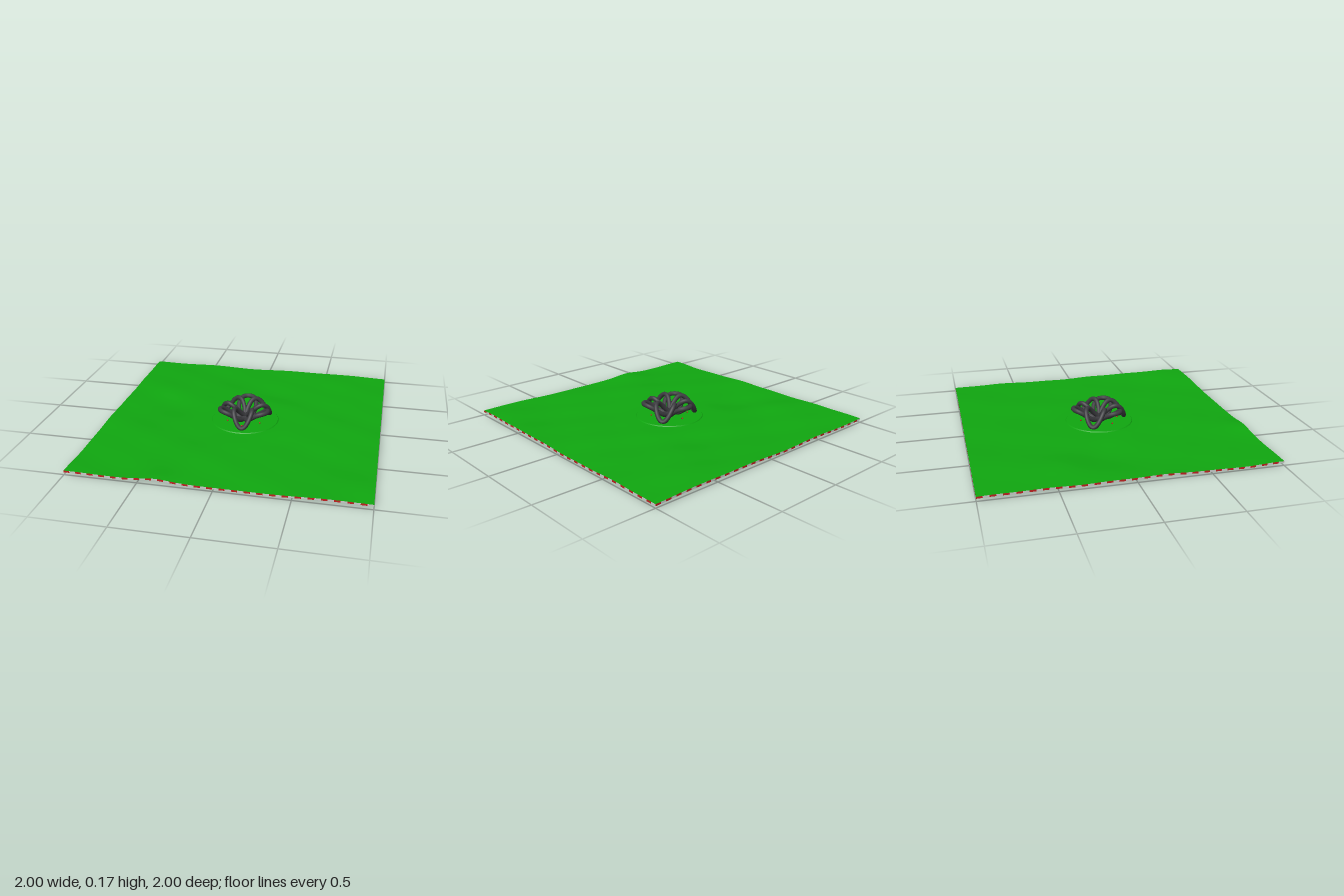
import * as THREE from 'three';

const THICK = 0.013;

// Gentle rolling ground, levelled around the middle
function groundHeight(x, z) {
  const waves = 0.0035 * Math.sin(5 * x + 2.3 * z + 1) + 0.003 * Math.sin(3.1 * x - 7 * z)
    + 0.002 * Math.sin(11 * x + 6 * z) + 0.0015 * Math.sin(17 * z - 9 * x + 2);
  const bump = (bx, bz, h, w) => h * Math.exp(-((x - bx) ** 2 + (z - bz) ** 2) / (w * w));
  const mask = THREE.MathUtils.smoothstep(Math.hypot(x, z), 0.22, 0.5);
  return 0.03 + mask * (waves + bump(-0.38, 1, 0.013, 0.12) + bump(1, 0.78, 0.009, 0.2)
    + bump(-0.7, -0.4, 0.006, 0.15) + bump(0.75, -0.5, 0.005, 0.15)
    - bump(-0.6, -0.1, 0.009, 0.2) - bump(0.2, -0.45, 0.009, 0.2));
}

// One face of the ground sheet
function sheet(drop, flip) {
  const g = new THREE.PlaneGeometry(2, 2, 90, 90);
  g.rotateX(flip ? Math.PI / 2 : -Math.PI / 2);
  const p = g.attributes.position;
  for (let i = 0; i < p.count; i++) p.setY(i, groundHeight(p.getX(i), p.getZ(i)) - drop);
  g.computeVertexNormals();
  return g;
}

// Every second dash of the border, all the way round the sheet
function borderDashes(parity) {
  const n = 50, pos = [];
  const sides = [t => [t, 1], t => [1, -t], t => [-t, -1], t => [-1, t]];
  for (const side of sides) {
    for (let i = parity; i < n; i += 2) {
      const [ax, az] = side(-1 + 2 * i / n), [bx, bz] = side(-1 + 2 * (i + 1) / n);
      const ay = groundHeight(ax, az), by = groundHeight(bx, bz);
      const a0 = [ax, ay - THICK, az], a1 = [ax, ay, az];
      const b0 = [bx, by - THICK, bz], b1 = [bx, by, bz];
      pos.push(...a0, ...b0, ...b1, ...a0, ...b1, ...a1);
    }
  }
  const g = new THREE.BufferGeometry();
  g.setAttribute('position', new THREE.Float32BufferAttribute(pos, 3));
  g.computeVertexNormals();
  return g;
}

// Closed curve of six loops, alternately lifted and drooping at the tip
class KnotCurve extends THREE.Curve {
  getPoint(u, target = new THREE.Vector3()) {
    const s = u * Math.PI * 2, turn = Math.PI / 2 + 0.06, a = 0.1, b = 0.095;
    const x = a * Math.cos(s + turn) + b * Math.cos(-5 * s + turn);
    const z = -a * Math.sin(s + turn) - b * Math.sin(-5 * s + turn);
    const y = 0.1 + 0.005 * Math.cos(3 * s) + 0.015 * Math.cos(6 * s)
      + 0.04 * Math.cos(9 * s) - 0.025 * Math.cos(12 * s);
    return target.set(x, y, z);
  }
}

export function createModel() {
  const group = new THREE.Group();
  const add = (name, geometry, color, side = THREE.FrontSide) => {
    const mesh = new THREE.Mesh(geometry, new THREE.MeshStandardMaterial({ color, side }));
    mesh.name = name;
    group.add(mesh);
    return mesh;
  };

  // Ground sheet and its striped rim
  add('groundTop', sheet(0, false), 0x10a810);
  add('groundUnderside', sheet(THICK, true), 0x10a810);
  add('redBorderDashes', borderDashes(0), 0xc02020, THREE.DoubleSide);
  add('paleBorderDashes', borderDashes(1), 0xcccccc, THREE.DoubleSide);

  // Low round plateau under the sculpture
  const plateau = add('plateau', new THREE.CylinderGeometry(0.245, 0.255, 0.012, 64), 0x10a810);
  plateau.position.y = 0.03;

  // Looping sculpture
  add('knotSculpture', new THREE.TubeGeometry(new KnotCurve(), 360, 0.017, 10, true), 0x3c3c40);

  // Small red dots beneath the loops
  for (let i = 0; i < 6; i++) {
    const a = i * Math.PI / 3 + 0.5;
    const dot = add('redDot', new THREE.SphereGeometry(0.006, 8, 6), 0xc02020);
    dot.position.set(0.14 * Math.cos(a), 0.04, 0.14 * Math.sin(a));
  }

  // Rest the lowest point on the floor
  const lowest = new THREE.Box3().setFromObject(group).min.y;
  group.children.forEach(child => { child.position.y -= lowest; });
  return group;
}
